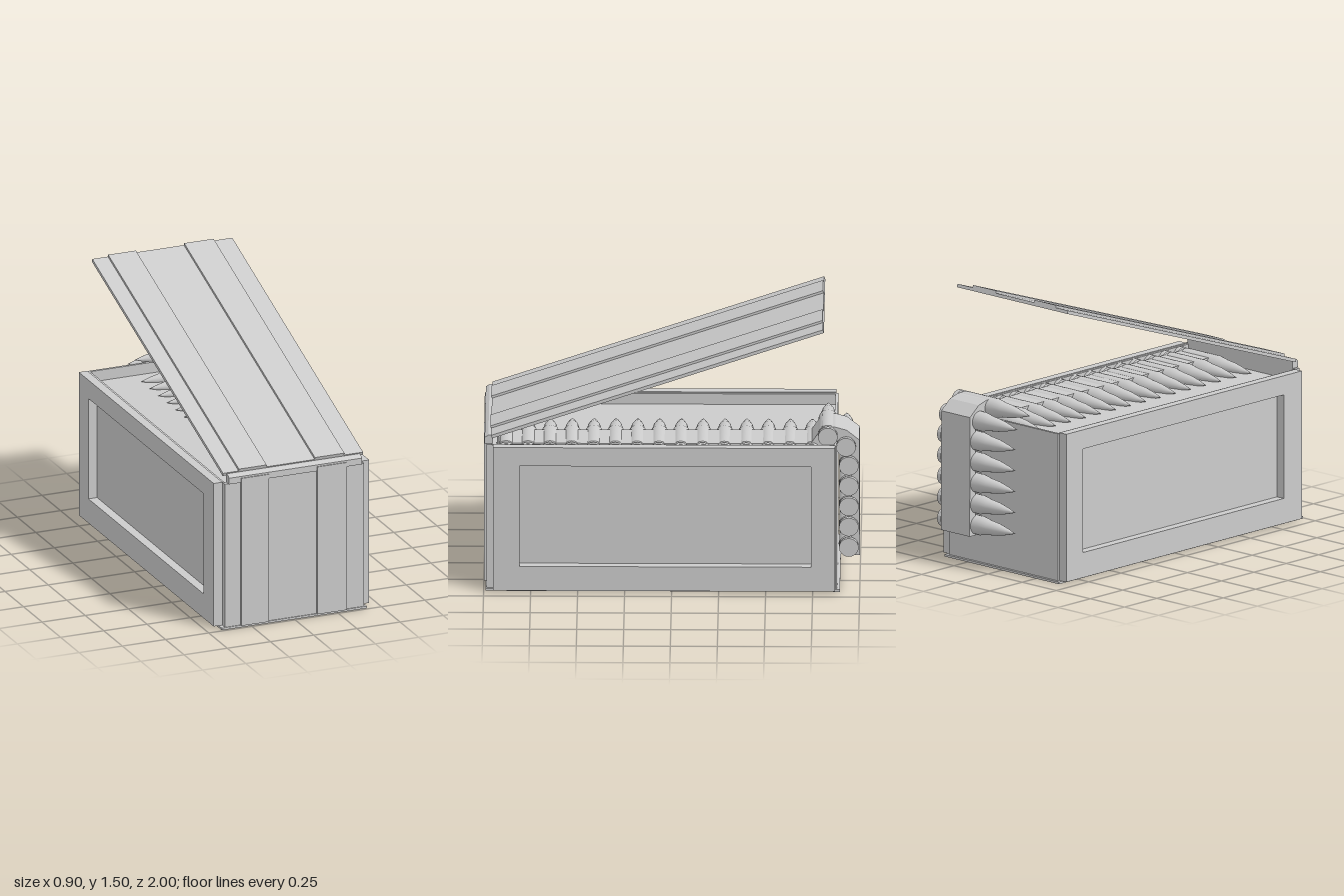
import * as THREE from 'three';

export function createModel() {
  const model = new THREE.Group();
  const grey = new THREE.MeshStandardMaterial({ color: 0xcccccc, flatShading: true, side: THREE.DoubleSide });
  const smooth = new THREE.MeshStandardMaterial({ color: 0xcccccc, side: THREE.DoubleSide });

  const add = (name, geometry, parent = model, material = grey) => {
    const mesh = new THREE.Mesh(geometry, material);
    mesh.name = name;
    parent.add(mesh);
    return mesh;
  };
  // Box given by its limits on each axis
  const box = (name, x0, x1, y0, y1, z0, z1, parent) =>
    add(name, new THREE.BoxGeometry(x1 - x0, y1 - y0, z1 - z0), parent)
      .position.set((x0 + x1) / 2, (y0 + y1) / 2, (z0 + z1) / 2);
  // Profile in (z, y), extruded across x
  const points = (list) => list.map(([z, y]) => new THREE.Vector2(z, y));
  const across = (name, outline, x0, x1, hole) => {
    const shape = new THREE.Shape(points(outline));
    if (hole) shape.holes.push(new THREE.Path(points(hole)));
    const geometry = new THREE.ExtrudeGeometry(shape, { depth: x1 - x0, bevelEnabled: false });
    geometry.rotateY(-Math.PI / 2).translate(x1, 0, 0);
    return add(name, geometry);
  };
  const rect = (z0, z1, y0, y1) => [[z0, y0], [z1, y0], [z1, y1], [z0, y1]];
  const strips = [[-0.31, -0.15], [0.13, 0.30]];

  // Case: base, body with a sunken top, rim walls
  box('bottomPlate', -0.42, 0.42, 0, 0.012, -0.895, 0.99);
  box('body', -0.40, 0.40, 0.012, 0.76, -0.88, 0.955);
  box('backRim', -0.40, 0.40, 0.76, 0.82, -0.88, -0.865);
  for (const s of [-1, 1]) {
    const a = s * 0.385, b = s * 0.40;
    box('sideRim', Math.min(a, b), Math.max(a, b), 0.76, 0.82, -0.88, 0.955);
    // Framed side panel with a recessed field
    across('sidePanel', rect(-0.87, 0.95, 0.012, 0.825),
      s > 0 ? 0.40 : -0.45, s > 0 ? 0.45 : -0.40, rect(-0.74, 0.81, 0.15, 0.72));
  }

  // Front plate, its strips and the hinge
  box('frontPlate', -0.40, 0.405, 0.012, 0.825, 0.955, 0.985);
  for (const [x0, x1] of strips) box('frontStrip', x0, x1, 0.012, 0.85, 0.98, 1.0);
  across('hinge', [[0.95, 0.825], [0.995, 0.825], [0.995, 0.86], [0.975, 0.873], [0.95, 0.873]], -0.38, 0.39);

  // Open lid, pivoting at the front
  const lid = new THREE.Group();
  lid.name = 'lid';
  lid.position.set(0, 0.862, 0.955);
  lid.rotation.x = Math.atan2(0.605, 1.765);
  const lidLength = Math.hypot(0.605, 1.765);
  box('lidPlate', -0.40, 0.41, 0, 0.018, -lidLength, 0, lid);
  for (const [x0, x1] of strips) box('lidStrip', x0, x1, 0.018, 0.031, -lidLength, 0, lid);
  model.add(lid);

  // Cartridge: tip towards -x, base towards +x
  const tip = new THREE.LatheGeometry(
    points([[0.0005, 0.145], [0.018, 0.085], [0.033, 0.02], [0.04, -0.04], [0.052, -0.10], [0.052, -0.335]]), 20);
  const base = new THREE.LatheGeometry(
    points([[0.052, -0.335], [0.045, -0.342], [0.045, -0.35], [0.052, -0.355], [0.052, -0.38], [0, -0.38]]), 20);
  for (const g of [tip, base]) g.rotateZ(Math.PI / 2);
  const cartridge = (y, z) => {
    const group = new THREE.Group();
    group.name = 'cartridge';
    add('casingAndTip', tip, group, smooth);
    add('casingBase', base, group);
    group.position.set(0, y, z);
    model.add(group);
  };
  // Row lying in the case
  for (let i = 0; i < 15; i++) cartridge(0.77, 0.88 - i * 0.116);
  // Part of the belt going over the back and hanging down
  cartridge(0.862, -0.83);
  cartridge(0.805, -0.927);
  for (let i = 0; i < 5; i++) cartridge(0.698 - i * 0.1155, -0.942);

  // Belt band holding the cartridges
  across('beltBand', [[0.92, 0.81], [-0.74, 0.815], [-0.80, 0.905], [-0.87, 0.907], [-0.93, 0.89], [-0.998, 0.835],
    [-1.0, 0.18], [-0.955, 0.18], [-0.955, 0.78], [-0.885, 0.83], [-0.74, 0.79], [0.92, 0.785]], 0.135, 0.345);

  return model;
}
